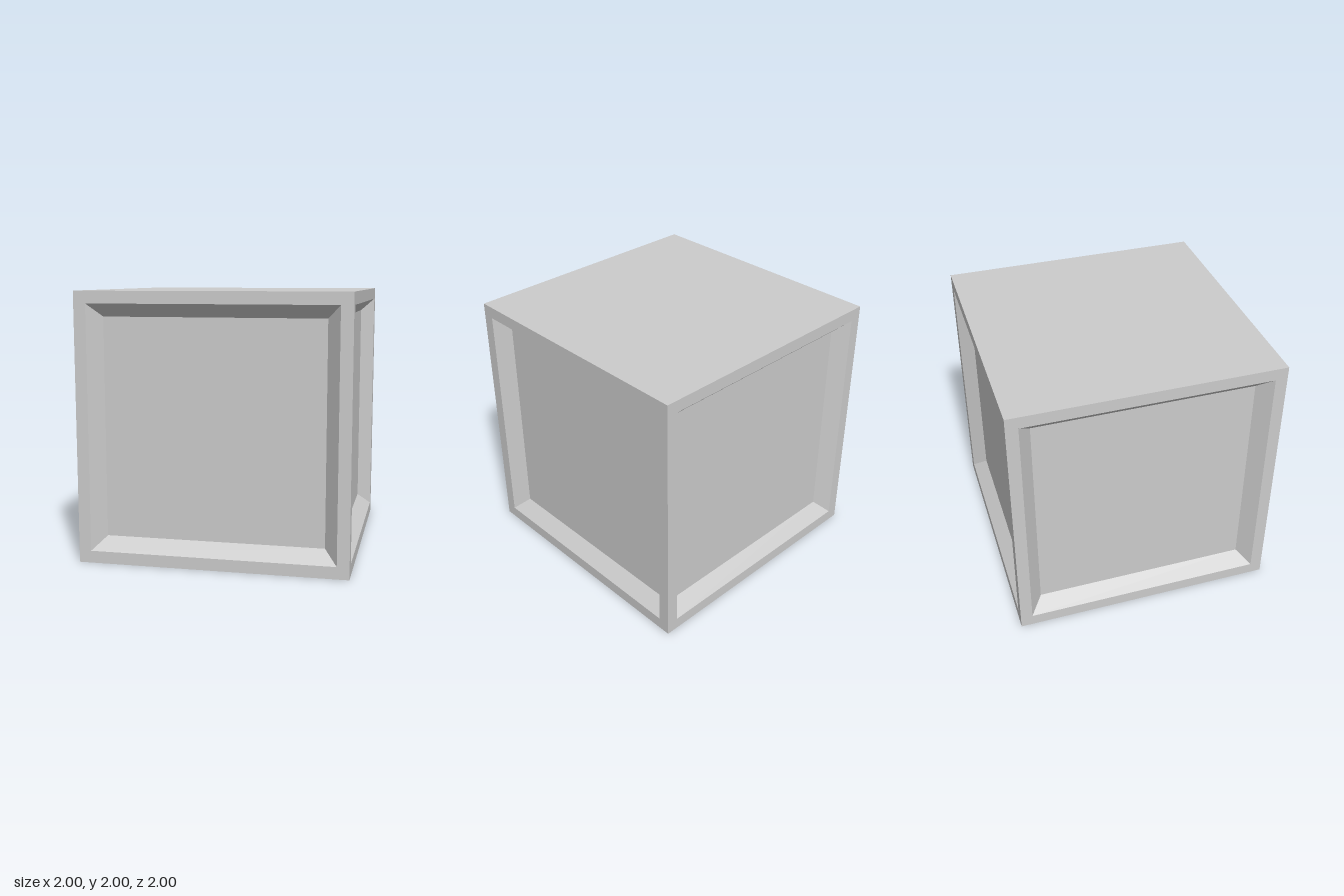
import * as THREE from 'three';

const HALF = 1;        // half the cube's side
const OPENING = 0.91;  // half size of the recess at the surface
const PANEL = 0.814;   // half size of the recessed panel
const DEPTH = 0.104;   // depth of the recess

const material = new THREE.MeshStandardMaterial({ color: 0xcccccc, flatShading: true });

function addMesh(parent, name, geometry) {
  const mesh = new THREE.Mesh(geometry, material);
  mesh.name = name;
  parent.add(mesh);
  return mesh;
}

// Four quads joining two concentric squares, facing +z
function squareRing(outer, outerZ, inner, innerZ) {
  const corners = [[-1, -1], [1, -1], [1, 1], [-1, 1]];
  const positions = [];
  corners.forEach(([x0, y0], i) => {
    const [x1, y1] = corners[(i + 1) % 4];
    const a = [x0 * outer, y0 * outer, outerZ];
    const b = [x1 * outer, y1 * outer, outerZ];
    const c = [x1 * inner, y1 * inner, innerZ];
    const d = [x0 * inner, y0 * inner, innerZ];
    positions.push(...a, ...b, ...c, ...a, ...c, ...d);
  });
  const geometry = new THREE.BufferGeometry();
  geometry.setAttribute('position', new THREE.Float32BufferAttribute(positions, 3));
  geometry.computeVertexNormals();
  return geometry;
}

// One wall: flat frame, sloped border and recessed panel
function createWall(name) {
  const wall = new THREE.Group();
  wall.name = name;
  const floor = HALF - DEPTH;
  addMesh(wall, 'frame', squareRing(HALF, HALF, OPENING, HALF));
  addMesh(wall, 'bevel', squareRing(OPENING, HALF, PANEL, floor));
  addMesh(wall, 'panel', new THREE.PlaneGeometry(PANEL * 2, PANEL * 2)).position.z = floor;
  return wall;
}

export function createModel() {
  const model = new THREE.Group();
  model.name = 'panelledCube';

  // Four identical walls around the vertical axis
  ['frontWall', 'leftWall', 'backWall', 'rightWall'].forEach((name, i) => {
    const wall = createWall(name);
    wall.position.y = HALF;
    wall.rotation.y = i * Math.PI / 2;
    model.add(wall);
  });

  // Plain top and bottom
  const top = addMesh(model, 'top', new THREE.PlaneGeometry(HALF * 2, HALF * 2));
  top.rotation.x = -Math.PI / 2;
  top.position.y = HALF * 2;
  const bottom = addMesh(model, 'bottom', new THREE.PlaneGeometry(HALF * 2, HALF * 2));
  bottom.rotation.x = Math.PI / 2;

  return model;
}
